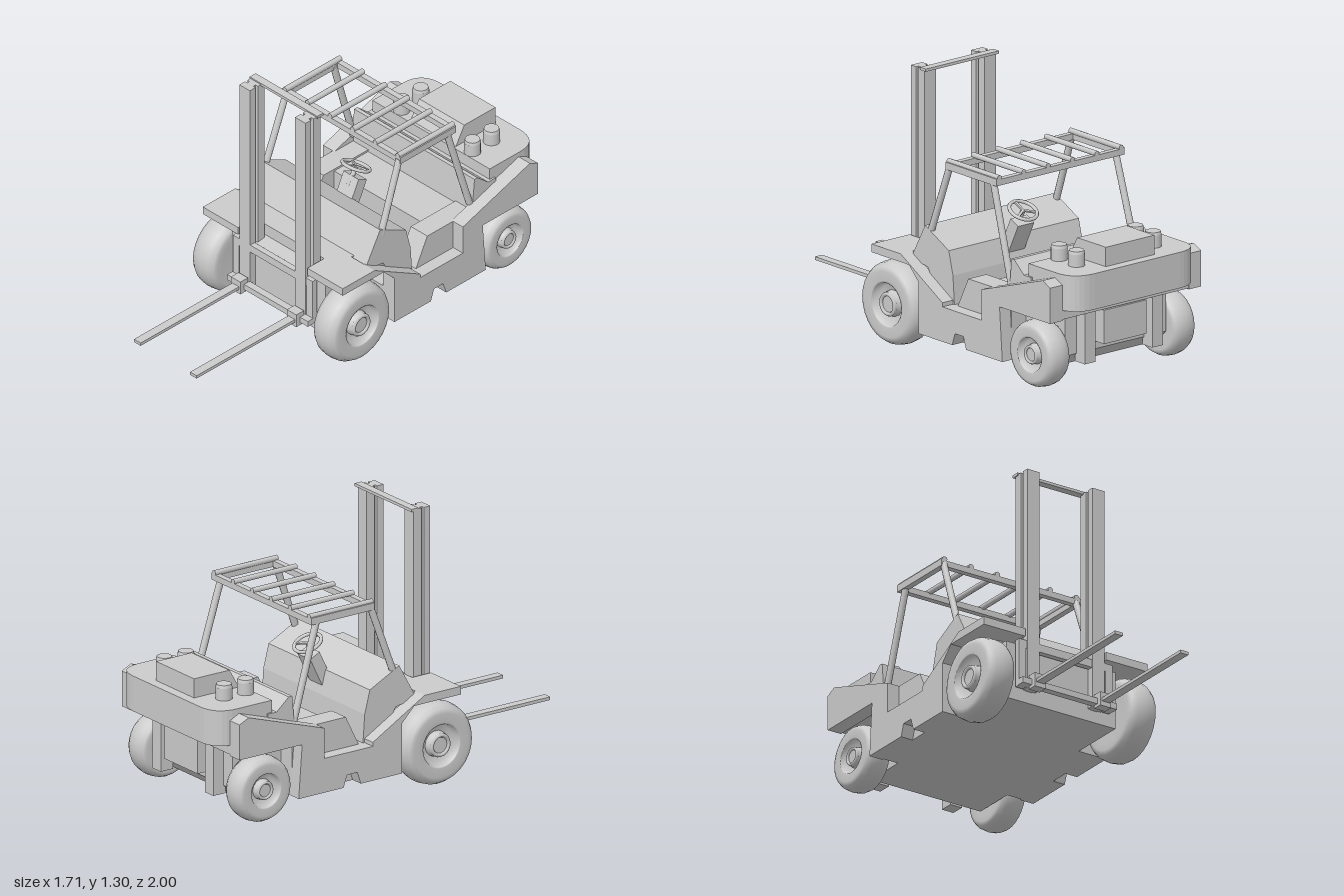
import * as THREE from 'three';

const grey = new THREE.MeshStandardMaterial({ color: 0xcccccc });

export function createModel() {
  const root = new THREE.Group();
  const truck = new THREE.Group();
  truck.name = 'forkliftTruck';
  // the truck stands turned on its base
  truck.rotation.y = -Math.PI / 5;
  truck.position.set(-0.032, 0, -0.024);
  root.add(truck);

  const add = (name, geo, x = 0, y = 0, z = 0, parent = truck) => {
    const m = new THREE.Mesh(geo, grey);
    m.name = name;
    m.position.set(x, y, z);
    parent.add(m);
    return m;
  };
  // box from its low and high limits
  const box = (name, x0, x1, y0, y1, z0, z1) =>
    add(name, new THREE.BoxGeometry(x1 - x0, y1 - y0, z1 - z0), (x0 + x1) / 2, (y0 + y1) / 2, (z0 + z1) / 2);
  // side profile of [z, y] points, extruded across x
  const slab = (name, x0, x1, pts) => {
    const shape = new THREE.Shape(pts.map(p => new THREE.Vector2(p[0], p[1])));
    const geo = new THREE.ExtrudeGeometry(shape, { depth: x1 - x0, bevelEnabled: false });
    geo.translate(0, 0, (x0 - x1) / 2);
    geo.rotateY(-Math.PI / 2);
    add(name, geo, (x0 + x1) / 2);
  };
  // round bar between two points
  const bar = (name, a, b, r, sides = 10) => {
    const A = new THREE.Vector3(...a), B = new THREE.Vector3(...b), d = B.clone().sub(A);
    const m = add(name, new THREE.CylinderGeometry(r, r, d.length(), sides));
    m.position.copy(A).add(B).multiplyScalar(0.5);
    m.quaternion.setFromUnitVectors(new THREE.Vector3(0, 1, 0), d.normalize());
  };

  // chassis core and upper body
  slab('chassis', -0.31, 0.31, [[0.37, 0.11], [0.37, 0.40], [0.30, 0.41], [0.30, 0.47], [0.0, 0.47], [-0.1, 0.28],
    [-0.45, 0.28], [-0.50, 0.42], [-0.80, 0.42], [-0.80, 0.17], [-0.74, 0.11]]);
  slab('cowl', -0.40, 0.40, [[0.20, 0.44], [0.10, 0.62], [-0.07, 0.535], [-0.10, 0.42], [-0.11, 0.28],
    [0, 0.28], [0.08, 0.42]]);
  slab('rearBulkhead', -0.40, 0.40, [[-0.50, 0.38], [-0.52, 0.60], [-0.54, 0.60],
    [-0.61, 0.54], [-0.66, 0.54], [-0.66, 0.38]]);
  box('seatBase', -0.30, 0.30, 0.27, 0.42, -0.52, -0.28);
  box('rearDeck', -0.45, 0.45, 0.38, 0.46, -0.87, -0.60);

  // rounded counterweight hood, drawn in plan
  const plan = new THREE.Shape();
  plan.moveTo(-0.39, 0.63);
  plan.lineTo(0.39, 0.63);
  plan.lineTo(0.39, 0.83);
  plan.quadraticCurveTo(0.39, 0.955, 0.26, 0.955);
  plan.lineTo(-0.26, 0.955);
  plan.quadraticCurveTo(-0.39, 0.955, -0.39, 0.83);
  const hood = new THREE.ExtrudeGeometry(plan, { depth: 0.175, bevelEnabled: false, curveSegments: 8 });
  hood.rotateX(-Math.PI / 2);
  add('counterweightHood', hood, 0, 0.425, 0);
  slab('engineCover', -0.15, 0.15, [[-0.645, 0.60], [-0.70, 0.695], [-0.905, 0.695], [-0.905, 0.60]]);
  box('hitchBlock', -0.13, 0.13, 0.21, 0.375, -0.87, -0.78);

  // wheel with its outer side toward +x
  const wheel = (name, r, w, x, y, z, side) => {
    const g = new THREE.Group();
    g.name = name;
    g.position.set(x * side, y, z);
    g.rotation.y = side > 0 ? 0 : Math.PI;
    truck.add(g);
    const lathe = (part, pts) => {
      const geo = new THREE.LatheGeometry(pts.map(p => new THREE.Vector2(p[0] * r, p[1] * w)), 28);
      geo.rotateZ(-Math.PI / 2);
      add(part, geo, 0, 0, 0, g);
    };
    lathe('tyre', [[0, -0.45], [0.6, -0.47], [0.78, -0.5], [0.89, -0.45], [0.97, -0.28], [1, 0],
      [0.97, 0.28], [0.89, 0.45], [0.78, 0.5], [0.56, 0.48]]);
    lathe('rim', [[0.56, 0.48], [0.52, 0.48], [0.45, 0.2], [0, 0.2]]);
    const hub = new THREE.CylinderGeometry(0.28 * r, 0.32 * r, 0.24 * w, 14);
    hub.rotateZ(-Math.PI / 2);
    add('hub', hub, 0.3 * w, 0, 0, g);
    const ring = new THREE.TorusGeometry(0.24 * r, 0.05 * r, 6, 20);
    ring.rotateY(Math.PI / 2);
    add('hubRing', ring, 0.42 * w, 0, 0, g);
  };

  for (const s of [-1, 1]) {
    const side = (f, name, a, b, ...rest) => f(name, Math.min(a * s, b * s), Math.max(a * s, b * s), ...rest);

    // side panel with step, front arch, rear fender and lower notch
    side(slab, 'sidePanel', 0.39, 0.465, [[0.30, 0.43], [0.30, 0.47], [0.20, 0.47], [-0.10, 0.30], [-0.10, 0.28],
      [-0.38, 0.28], [-0.38, 0.43], [-0.82, 0.575], [-0.873, 0.55], [-0.873, 0.375], [-0.51, 0.375], [-0.53, 0.11],
      [-0.27, 0.11], [-0.25, 0.17], [-0.19, 0.17], [-0.17, 0.11], [0.07, 0.11], [0.07, 0.36], [0.14, 0.43]]);
    side(box, 'sill', 0.30, 0.40, 0.11, 0.28, -0.52, 0.07);
    side(slab, 'sidePod', 0.29, 0.40, [[-0.52, 0.27], [-0.52, 0.43], [-0.21, 0.43], [-0.13, 0.27]]);
    side(box, 'frontFender', 0.23, 0.465, 0.43, 0.47, 0.20, 0.41);
    side(box, 'hitchBracket', 0.175, 0.24, 0.13, 0.38, -0.86, -0.79);

    wheel('frontWheel', 0.203, 0.15, 0.402, 0.203, 0.29, s);
    wheel('rearWheel', 0.162, 0.13, 0.385, 0.182, -0.706, s);

    // mast channel: two flanges and a web
    side(box, 'mastFrontRail', 0.15, 0.22, 0.17, 1.295, 0.375, 0.412);
    side(box, 'mastWeb', 0.165, 0.205, 0.17, 1.295, 0.36, 0.375);
    side(box, 'mastRearRail', 0.15, 0.22, 0.17, 1.295, 0.315, 0.36);

    // fork with its heel and carriage upright
    side(box, 'fork', 0.164, 0.208, 0.178, 0.194, 0.44, 1.116);
    side(box, 'forkHeel', 0.155, 0.217, 0.155, 0.225, 0.42, 0.47);
    side(box, 'carriageUpright', 0.225, 0.265, 0.17, 0.41, 0.38, 0.41);

    // overhead guard supports
    bar('guardFrontPost', [0.385 * s, 0.58, 0.08], [0.375 * s, 0.94, -0.05], 0.017);
    bar('guardRearPost', [0.385 * s, 0.47, -0.50], [0.375 * s, 0.94, -0.36], 0.017);
    side(box, 'guardSideRail', 0.365, 0.395, 0.925, 0.96, -0.405, -0.04);

    for (const z of [-0.67, -0.795]) {
      add('exhaustCap', new THREE.CylinderGeometry(0.036, 0.04, 0.015, 16), 0.235 * s, 0.667, z);
      add('exhaustStack', new THREE.CylinderGeometry(0.04, 0.04, 0.08, 16), 0.235 * s, 0.62, z);
    }
  }

  // mast and carriage cross members
  box('mastTopPlate', -0.225, 0.225, 1.288, 1.302, 0.30, 0.34);
  box('carriageLowerBar', -0.268, 0.268, 0.17, 0.20, 0.408, 0.445);
  box('carriageUpperBar', -0.265, 0.265, 0.37, 0.41, 0.38, 0.41);

  // guard roof
  for (const z of [-0.055, -0.39]) box('guardCrossBeam', -0.38, 0.38, 0.925, 0.955, z - 0.015, z + 0.015);
  for (let i = 0; i < 6; i++) {
    const x = -0.375 + i * 0.15;
    bar('guardSlat', [x, 0.962, -0.04], [x, 0.962, -0.405], 0.014, 8);
  }

  // steering column, wheel and spokes
  const column = add('steeringColumn', new THREE.BoxGeometry(0.10, 0.26, 0.06), 0, 0.50, -0.075);
  column.rotation.x = -0.45;
  bar('steeringShaft', [0, 0.58, -0.09], [0, 0.665, -0.135], 0.012);
  const steering = new THREE.Group();
  steering.name = 'steeringWheel';
  steering.position.set(0, 0.668, -0.137);
  steering.rotation.x = Math.PI / 2 - 0.45;
  truck.add(steering);
  add('steeringRim', new THREE.TorusGeometry(0.068, 0.009, 8, 24), 0, 0, 0, steering);
  for (let i = 0; i < 3; i++) {
    const geo = new THREE.BoxGeometry(0.012, 0.068, 0.008);
    geo.translate(0, 0.034, 0);
    add('steeringSpoke', geo, 0, 0, 0, steering).rotation.z = i * Math.PI * 2 / 3;
  }
  return root;
}
